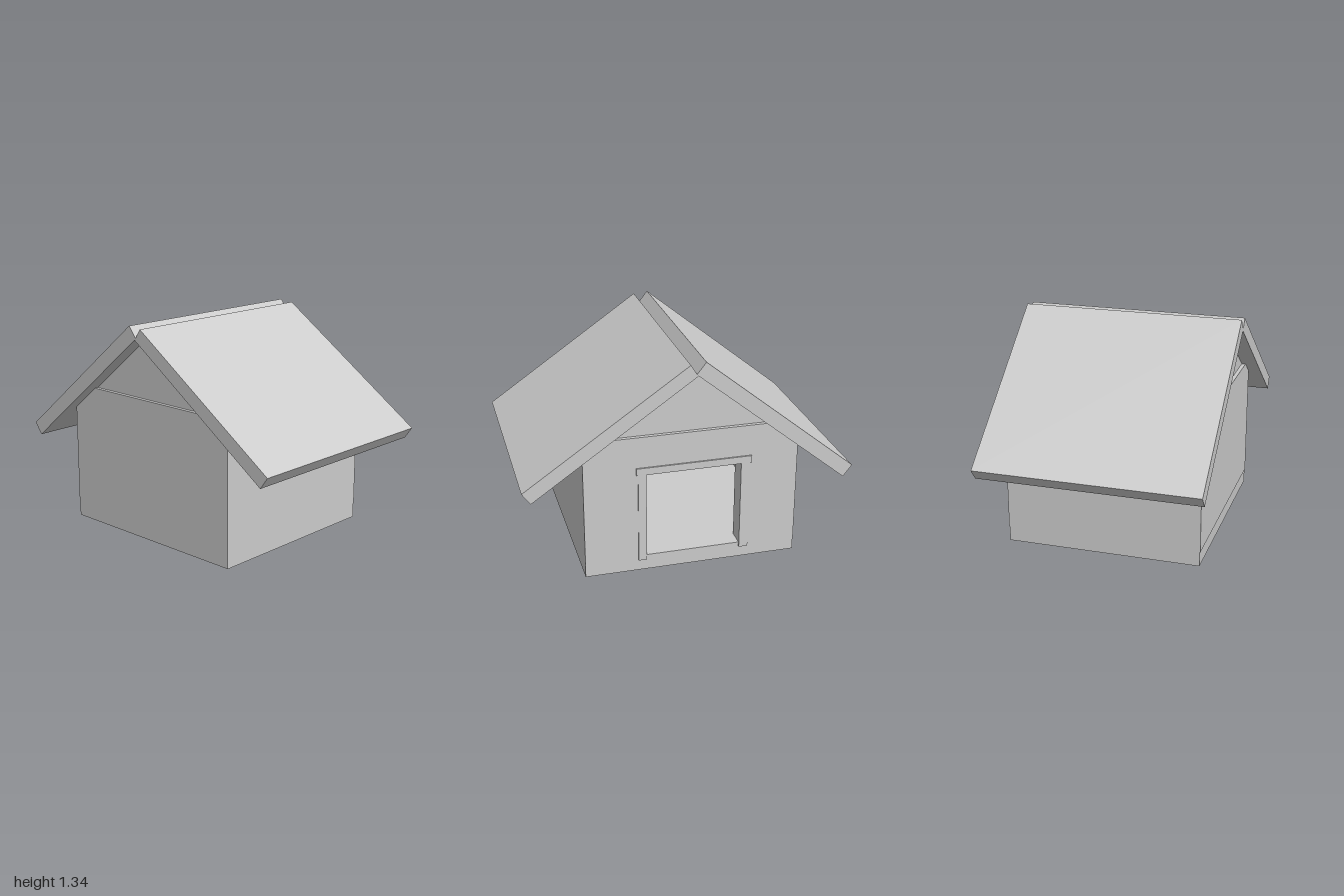
import * as THREE from 'three';

const mat = new THREE.MeshStandardMaterial({ color: 0xcccccc, flatShading: true });

// Extrude a (z, y) outline along x from x0 to x1, with optional holes
function slab(name, points, x0, x1, holes = []) {
  const toVec = ([z, y]) => new THREE.Vector2(-z, y);
  const shape = new THREE.Shape(points.map(toVec));
  holes.forEach(h => shape.holes.push(new THREE.Path(h.map(toVec))));
  const geo = new THREE.ExtrudeGeometry(shape, { depth: x1 - x0, bevelEnabled: false });
  geo.rotateY(Math.PI / 2).translate(x0, 0, 0);
  const mesh = new THREE.Mesh(geo, mat);
  mesh.name = name;
  return mesh;
}

const rect = (z0, z1, y0, y1) => [[z0, y0], [z1, y0], [z1, y1], [z0, y1]];

export function createModel() {
  const house = new THREE.Group();
  house.name = 'kennel';

  // Floor base
  house.add(slab('floor', rect(0.635, -0.675, 0, 0.1), -0.595, 0.595));

  // Front wall, back wall and ceiling as one hollow section
  const outline = [[0.635, 0.09], [-0.675, 0.09], [-0.675, 0.73], [-0.49, 0.88], [0.515, 0.88], [0.635, 0.8]];
  const room = [[0.585, 0.1], [-0.625, 0.1], [-0.625, 0.71], [-0.54, 0.78], [0.585, 0.78]];
  house.add(slab('wallsAndCeiling', outline, -0.49, 0.49, [room]));

  // End walls, the right-hand one with the doorway
  const doorway = rect(0.26, -0.32, 0.1, 0.64);
  house.add(slab('plainEndWall', outline, -0.599, -0.49));
  house.add(slab('doorEndWall', outline, 0.49, 0.599, [doorway]));

  // Gable block, set back from the end walls
  const gable = [[0.515, 0.88], [-0.49, 0.88], [-0.055, 1.235], [0.005, 1.235]];
  house.add(slab('gable', gable, -0.575, 0.575));

  // Door frame
  const frame = new THREE.Group();
  frame.name = 'doorFrame';
  frame.add(slab('frontPost', rect(0.31, 0.26, 0.07, 0.64), 0.58, 0.606));
  frame.add(slab('backPost', rect(-0.32, -0.375, 0.07, 0.64), 0.58, 0.606));
  frame.add(slab('lintel', rect(0.32, -0.385, 0.64, 0.685), 0.58, 0.608));
  house.add(frame);

  // Two roof boards of slightly different pitch
  house.add(slab('frontRoof', [[1, 0.65], [0.95, 0.58], [-0.025, 1.255], [0.02, 1.325]], -0.68, 0.68));
  house.add(slab('backRoof', [[-0.07, 1.335], [-0.015, 1.265], [-0.945, 0.51], [-1, 0.58]], -0.68, 0.68));

  return house;
}
